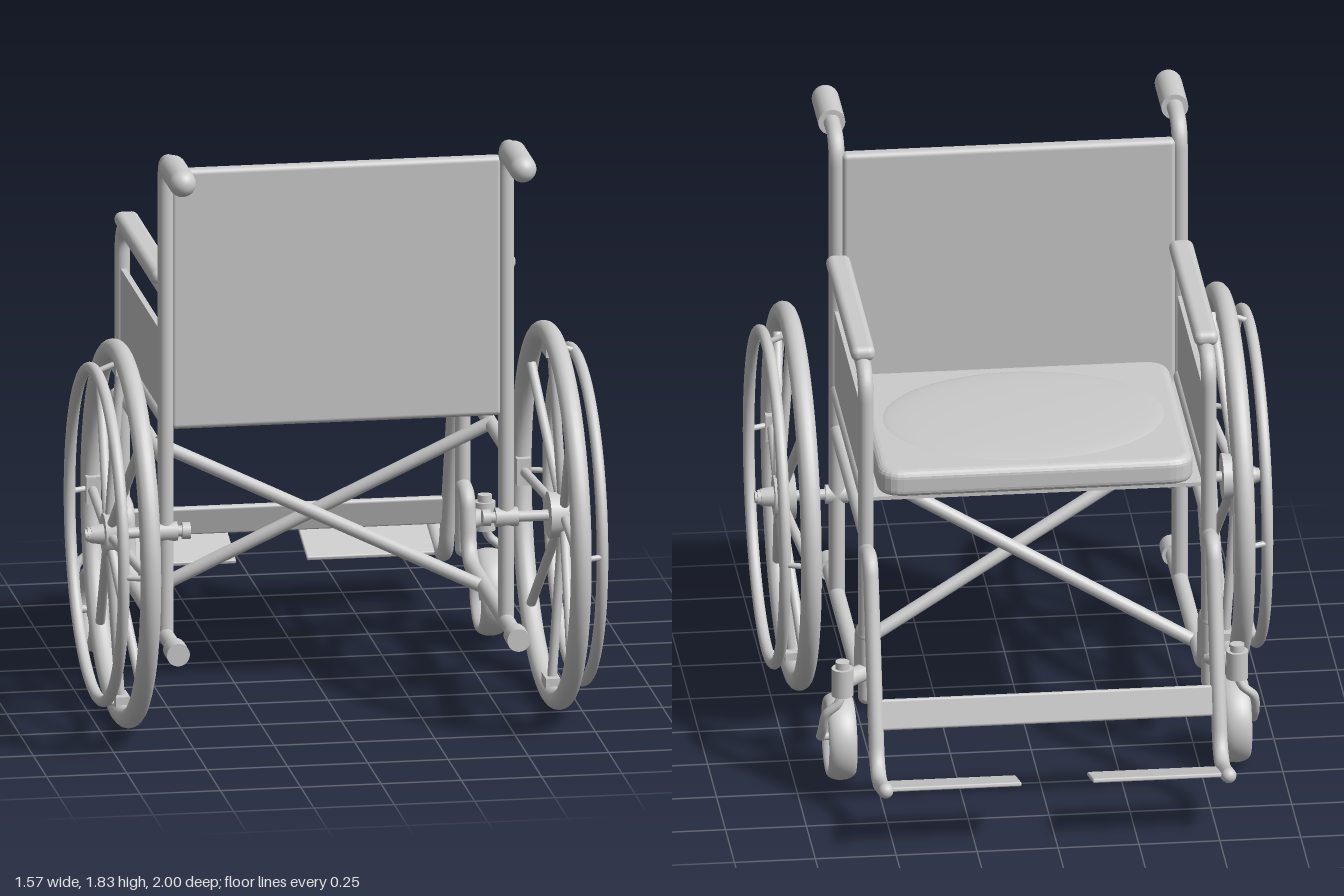
import * as THREE from 'three';
import { RoundedBoxGeometry } from 'three/addons/geometries/RoundedBoxGeometry.js';

const material = new THREE.MeshStandardMaterial({ color: 0xcccccc, side: THREE.DoubleSide });
const V = (x, y, z) => new THREE.Vector3(x, y, z);

function add(parent, name, geometry, x = 0, y = 0, z = 0) {
  const mesh = new THREE.Mesh(geometry, material);
  mesh.name = name;
  mesh.position.set(x, y, z);
  parent.add(mesh);
  return mesh;
}

// Straight cylinder between two points
function rod(parent, name, a, b, r, r2 = r) {
  const dir = b.clone().sub(a);
  const mesh = add(parent, name, new THREE.CylinderGeometry(r2, r, dir.length(), 20));
  mesh.position.copy(a).add(b).multiplyScalar(0.5);
  mesh.quaternion.setFromUnitVectors(V(0, 1, 0), dir.normalize());
  return mesh;
}

// Bent tube: straight runs with rounded corners, points given as [y, z] at one x
function bentTube(parent, name, x, points, r, bend) {
  const p = points.map(([y, z]) => V(x, y, z));
  const path = new THREE.CurvePath();
  let from = p[0];
  for (let i = 1; i < p.length - 1; i++) {
    const d = Math.min(bend, p[i].distanceTo(p[i - 1]) * 0.48, p[i].distanceTo(p[i + 1]) * 0.48);
    const a = p[i].clone().add(p[i - 1].clone().sub(p[i]).setLength(d));
    const b = p[i].clone().add(p[i + 1].clone().sub(p[i]).setLength(d));
    path.add(new THREE.LineCurve3(from, a));
    path.add(new THREE.QuadraticBezierCurve3(a, p[i], b));
    from = b;
  }
  path.add(new THREE.LineCurve3(from, p[p.length - 1]));
  add(parent, name, new THREE.TubeGeometry(path, 90, r, 16));
  for (const end of [p[0], p[p.length - 1]]) {
    add(parent, name + 'End', new THREE.SphereGeometry(r, 16, 10), end.x, end.y, end.z);
  }
}

// Ring standing in the yz plane, optionally widened along the axle
function ring(parent, name, radius, tube, x, widen = 1) {
  const geo = new THREE.TorusGeometry(radius, tube, 18, 72);
  geo.scale(1, 1, widen);
  geo.rotateY(Math.PI / 2);
  return add(parent, name, geo, x);
}

function driveWheel(s) {
  const g = new THREE.Group();
  g.name = 'driveWheel';
  g.position.set(0, 0.6, 0.4);
  ring(g, 'tyre', 0.568, 0.032, s * 0.67);
  ring(g, 'handRim', 0.513, 0.018, s * 0.745);
  for (let i = 0; i < 8; i++) {
    const a = i * Math.PI / 4, c = Math.cos(a), n = Math.sin(a);
    rod(g, 'spoke', V(s * 0.705, c * 0.05, n * 0.05), V(s * 0.67, c * 0.55, n * 0.55), 0.015);
    if (i % 2 === 0) {
      const clip = add(g, 'rimClip', new THREE.BoxGeometry(0.045, 0.045, 0.085), s * 0.67, c * 0.533, n * 0.533);
      clip.rotation.x = a;
      rod(g, 'rimBracket', V(s * 0.675, c * 0.545, n * 0.545), V(s * 0.745, c * 0.518, n * 0.518), 0.009);
    }
  }
  // Hub, axle and nuts
  rod(g, 'hub', V(s * 0.66, 0, 0), V(s * 0.725, 0, 0), 0.073, 0.065);
  rod(g, 'hubCap', V(s * 0.72, 0, 0), V(s * 0.765, 0, 0), 0.033, 0.026);
  rod(g, 'axle', V(s * 0.46, 0, 0), V(s * 0.783, 0, 0), 0.017);
  rod(g, 'axleNut', V(s * 0.455, 0, 0), V(s * 0.48, 0, 0), 0.026);
  rod(g, 'axleEndNut', V(s * 0.765, 0, 0), V(s * 0.775, 0, 0), 0.023);
  rod(g, 'axleCollar', V(s * 0.495, 0, 0), V(s * 0.565, 0, 0), 0.03);
  return g;
}

function caster(s) {
  const g = new THREE.Group();
  g.name = 'caster';
  const x = s * 0.61, y = 0.145, z = -0.405;
  ring(g, 'casterTyre', 0.114, 0.022, x, 2).position.set(x, y, z);
  for (let i = 0; i < 8; i++) {
    const a = i * Math.PI / 4;
    rod(g, 'casterSpoke', V(x, y, z), V(x, y + Math.cos(a) * 0.105, z + Math.sin(a) * 0.105), 0.01);
  }
  rod(g, 'casterHub', V(x - 0.03, y, z), V(x + 0.03, y, z), 0.027);
  rod(g, 'casterAxle', V(s * 0.6, y, z), V(s * 0.675, y, z), 0.012);
  // One-sided fork arm sweeping outward from the swivel stem
  const arm = new THREE.CatmullRomCurve3([
    V(x, 0.33, -0.49), V(s * 0.625, 0.295, -0.5), V(s * 0.66, 0.26, -0.495),
    V(s * 0.668, 0.2, -0.465), V(s * 0.668, y, z)]);
  add(g, 'forkArm', new THREE.TubeGeometry(arm, 32, 0.014, 12));
  rod(g, 'swivelStem', V(x, 0.32, -0.49), V(x, 0.41, -0.49), 0.034);
  rod(g, 'stemCap', V(x, 0.41, -0.49), V(x, 0.432, -0.49), 0.022);
  rod(g, 'stemBracket', V(s * 0.53, 0.365, -0.42), V(x, 0.365, -0.49), 0.028);
  return g;
}

function sideFrame(s) {
  const g = new THREE.Group();
  g.name = s > 0 ? 'leftSide' : 'rightSide';
  const x = s * 0.53, r = 0.025;
  // Rear post bending into the push handle
  bentTube(g, 'rearPost', x, [[0.27, 0.395], [1.79, 0.395], [1.79, 0.56]], r, 0.15);
  const grip = add(g, 'handGrip', new THREE.CapsuleGeometry(0.042, 0.15, 8, 24), x, 1.79, 0.638);
  grip.rotation.x = Math.PI / 2;
  rod(g, 'gripCollar', V(x, 1.79, 0.53), V(x, 1.79, 0.6), 0.042);
  // Front post bending into the arm bar
  bentTube(g, 'frontPost', x, [[0.28, -0.42], [1.365, -0.42], [1.365, 0.39]], 0.024, 0.09);
  add(g, 'armPad', new RoundedBoxGeometry(0.075, 0.048, 0.73, 4, 0.022), x, 1.397, 0.005);
  // Side rails and skirt panel
  for (const y of [0.955, 0.82]) rod(g, 'sideRail', V(x, y, 0.39), V(x, y, -0.42), 0.022);
  add(g, 'skirtPanel', new THREE.BoxGeometry(0.018, 0.26, 0.79), x, 1.095, -0.015);
  // Lower tube rising to the front post, with a rear end cap
  bentTube(g, 'lowerTube', x, [[0.27, 0.6], [0.27, -0.3], [0.475, -0.335], [0.485, -0.42]], 0.025, 0.09);
  rod(g, 'tubeCap', V(x, 0.27, 0.565), V(x, 0.27, 0.64), 0.036);
  // Leg rest tube and foot plate
  bentTube(g, 'legTube', x, [[0.775, -0.43], [0.80, -0.545], [0.14, -0.75], [0.208, -0.978]], 0.024, 0.12);
  const plate = add(g, 'footPlate', new RoundedBoxGeometry(0.41, 0.014, 0.172, 2, 0.005), s * 0.315, 0.186, -0.897);
  plate.rotation.x = 0.29;
  g.add(driveWheel(s), caster(s));
  return g;
}

// Cushion with rounded corners and a gently domed top
function cushion() {
  const w = 0.46, d = 0.36, c = 0.05;
  const shape = new THREE.Shape();
  shape.moveTo(-w + c, -d);
  shape.lineTo(w - c, -d).quadraticCurveTo(w, -d, w, -d + c);
  shape.lineTo(w, d - c).quadraticCurveTo(w, d, w - c, d);
  shape.lineTo(-w + c, d).quadraticCurveTo(-w, d, -w, d - c);
  shape.lineTo(-w, -d + c).quadraticCurveTo(-w, -d, -w + c, -d);
  const geo = new THREE.ExtrudeGeometry(shape, {
    depth: 0.04, bevelEnabled: true, bevelSize: 0.028, bevelThickness: 0.025, bevelSegments: 5, curveSegments: 6 });
  geo.rotateX(-Math.PI / 2);
  return geo;
}

export function createModel() {
  const model = new THREE.Group();
  model.name = 'wheelchair';
  for (const s of [-1, 1]) model.add(sideFrame(s));

  // Seat
  add(model, 'seatCushion', cushion(), 0, 0.96, -0.03);
  const dome = add(model, 'seatDome', new THREE.SphereGeometry(1, 40, 10, 0, Math.PI * 2, 0, Math.PI / 2), 0, 1.022, -0.03);
  dome.scale.set(0.44, 0.018, 0.34);
  add(model, 'seatBase', new THREE.BoxGeometry(1.02, 0.012, 0.77), 0, 0.938, -0.025);

  // Backrest between the rear posts
  add(model, 'backrest', new RoundedBoxGeometry(1.03, 0.825, 0.045, 3, 0.016), 0, 1.337, 0.39);

  // Folding cross brace
  for (const s of [-1, 1]) {
    const shift = s * 0.035;
    rod(model, 'crossBrace', V(-s * 0.53, 0.83, 0.165 + shift), V(s * 0.53, 0.265, -0.055 + shift), 0.021);
  }

  // Calf strap between the leg tubes
  const strap = add(model, 'calfStrap', new RoundedBoxGeometry(1.04, 0.096, 0.022, 2, 0.008), 0, 0.335, -0.69);
  strap.rotation.x = 0.3;
  return model;
}
